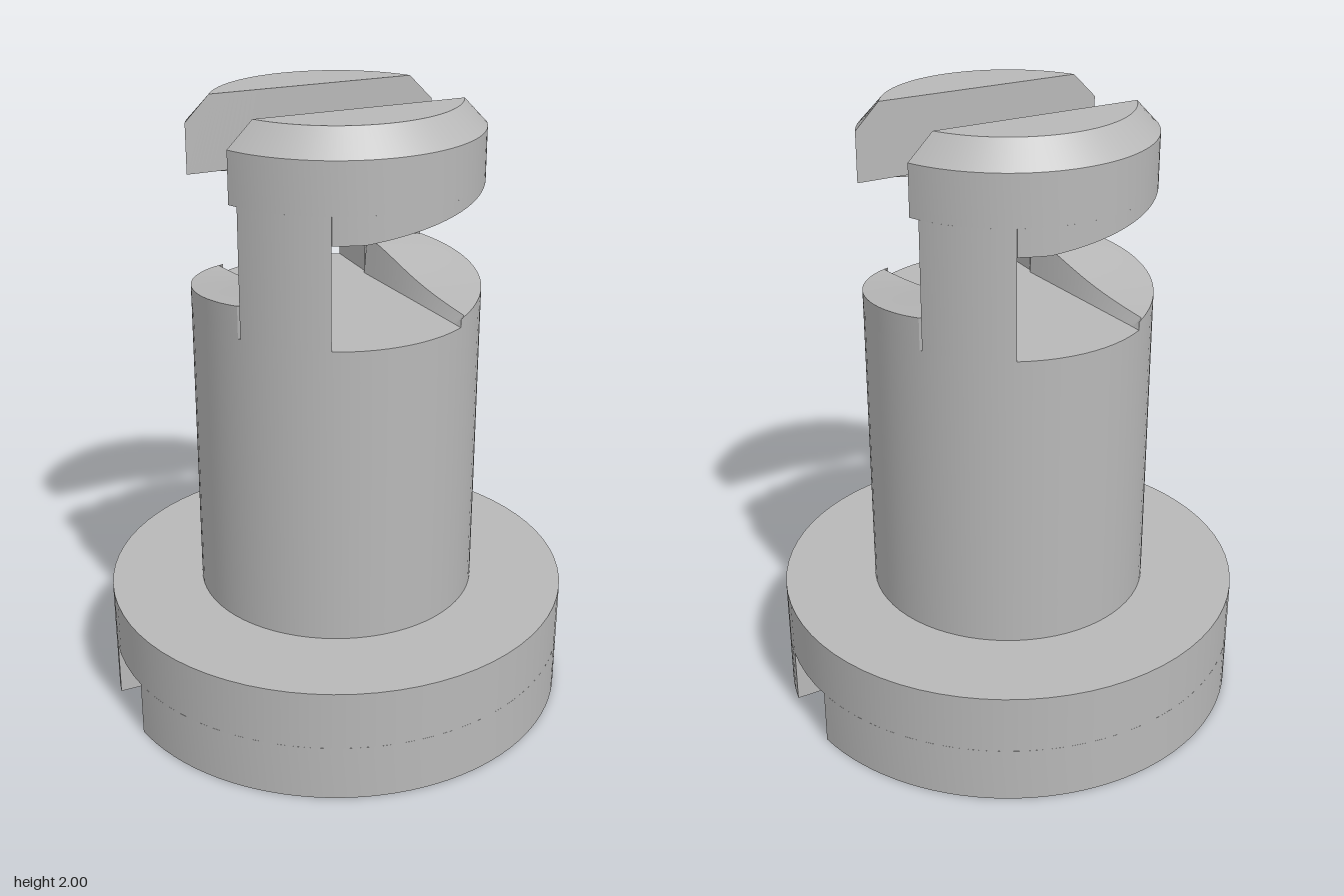
import * as THREE from 'three';
import { toCreasedNormals } from 'three/addons/utils/BufferGeometryUtils.js';

const RAD = Math.PI / 180;
const R = 0.457;       // shaft radius
const POST_X = 0.2;    // post side face
const POST_Z = 0.21;   // post inner face

// Solid swept through columns (closed polygons) given by column(angle)
function loft(from, to, steps, column) {
  const cols = [];
  for (let i = 0; i <= steps; i++) cols.push(column((from + (to - from) * i / steps) * RAD));
  const pos = [];
  const tri = (a, b, c) => {
    const n = b.clone().sub(a).cross(c.clone().sub(a));
    if (n.length() > 1e-8) for (const p of [a, b, c]) pos.push(p.x, p.y, p.z);
  };
  const k = cols[0].length;
  for (let i = 0; i < steps; i++) {
    for (let j = 0; j < k; j++) {
      const a = cols[i][j], b = cols[i][(j + 1) % k];
      const a2 = cols[i + 1][j], b2 = cols[i + 1][(j + 1) % k];
      tri(a, b, b2);
      tri(a, b2, a2);
    }
  }
  for (let j = 1; j < k - 1; j++) {
    tri(cols[0][0], cols[0][j + 1], cols[0][j]);
    tri(cols[steps][0], cols[steps][j], cols[steps][j + 1]);
  }
  const g = new THREE.BufferGeometry();
  g.setAttribute('position', new THREE.Float32BufferAttribute(pos, 3));
  return toCreasedNormals(g, 0.4);
}

const polar = (r, a, y) => new THREE.Vector3(r * Math.cos(a), y, r * Math.sin(a));

// Piece of a disc beyond the plane z = zin, following [radius, y] pairs upward
function segment(zin, profile, endAngle) {
  const start = Math.asin(zin / profile[0][0]) / RAD;
  const end = endAngle ?? 180 - start;
  const from = endAngle ? 180 - start : start;
  const lo = Math.min(from, end), hi = Math.max(from, end);
  return loft(lo, hi, 48, (a) => {
    const t = (a / RAD - 90) / (90 - start);
    const outer = profile.map(([r, y]) => {
      const s = Math.asin(zin / r);
      return polar(r, Math.PI / 2 + t * (Math.PI / 2 - s), y);
    });
    const first = outer[0], last = outer[outer.length - 1];
    return [new THREE.Vector3(first.x, first.y, zin), ...outer,
      new THREE.Vector3(last.x, last.y, zin)];
  });
}

export function createModel() {
  const model = new THREE.Group();
  const grey = new THREE.MeshStandardMaterial({ color: 0xb8b8b8 });
  grey.name = 'grey';

  const add = (parent, name, geometry, y = 0) => {
    const mesh = new THREE.Mesh(geometry, grey);
    mesh.name = name;
    mesh.position.y = y;
    parent.add(mesh);
  };

  // Base flange above its slot, and the shaft
  add(model, 'baseFlange', new THREE.CylinderGeometry(0.76, 0.76, 0.195, 72), 0.2825);
  add(model, 'shaft', new THREE.CylinderGeometry(R, R, 0.975, 72), 0.8675);

  const baseHalf = segment(0.125, [[0.76, 0], [0.76, 0.185]]);
  const cap = segment(0.18, [[R, 1.76], [R, 1.92], [0.385, 2]]);
  const postAngle = 180 - Math.acos(POST_X / R) / RAD;
  const post = segment(POST_Z, [[R, 1.355], [R, 1.76]], postAngle);

  // Spiral underside of the cap, beside the post
  const capWedge = loft(Math.asin(POST_Z / R) / RAD, 133.6, 60, (a) => {
    const outer = Math.min(R, Math.cos(a) < 0 ? -POST_X / Math.cos(a) : R);
    const inner = Math.min(outer, POST_Z / Math.sin(a));
    const y = Math.min(1.76, Math.max(1.675, 1.69 + 0.07 * (90 - a / RAD) / 63));
    return [polar(inner, a, y), polar(outer, a, y), polar(outer, a, 1.76), polar(inner, a, 1.76)];
  });

  // Spiral ramp rising from the flat floor to the opposite post
  const ramp = loft(-45.3, 59, 60, (a) => {
    const outer = Math.min(R, Math.sin(a) < 0 ? -POST_Z / Math.sin(a) : R);
    const line = (x) => Math.min(outer, x / (Math.cos(a) - 0.08 * Math.sin(a)));
    const y = Math.min(1.465, 1.355 + 0.08 * (90 - a / RAD) / 90);
    return [polar(line(0.205), a, 1.355), polar(outer, a, 1.355),
      polar(outer, a, y), polar(line(0.225), a, y)];
  });

  // Two identical halves, half a turn apart
  for (const [i, name] of ['frontHalf', 'backHalf'].entries()) {
    const half = new THREE.Group();
    half.name = name;
    half.rotation.y = i * Math.PI;
    add(half, 'baseFoot', baseHalf);
    add(half, 'prongCap', cap);
    add(half, 'prongPost', post);
    add(half, 'capSpiral', capWedge);
    add(half, 'floorRamp', ramp);
    model.add(half);
  }
  return model;
}
